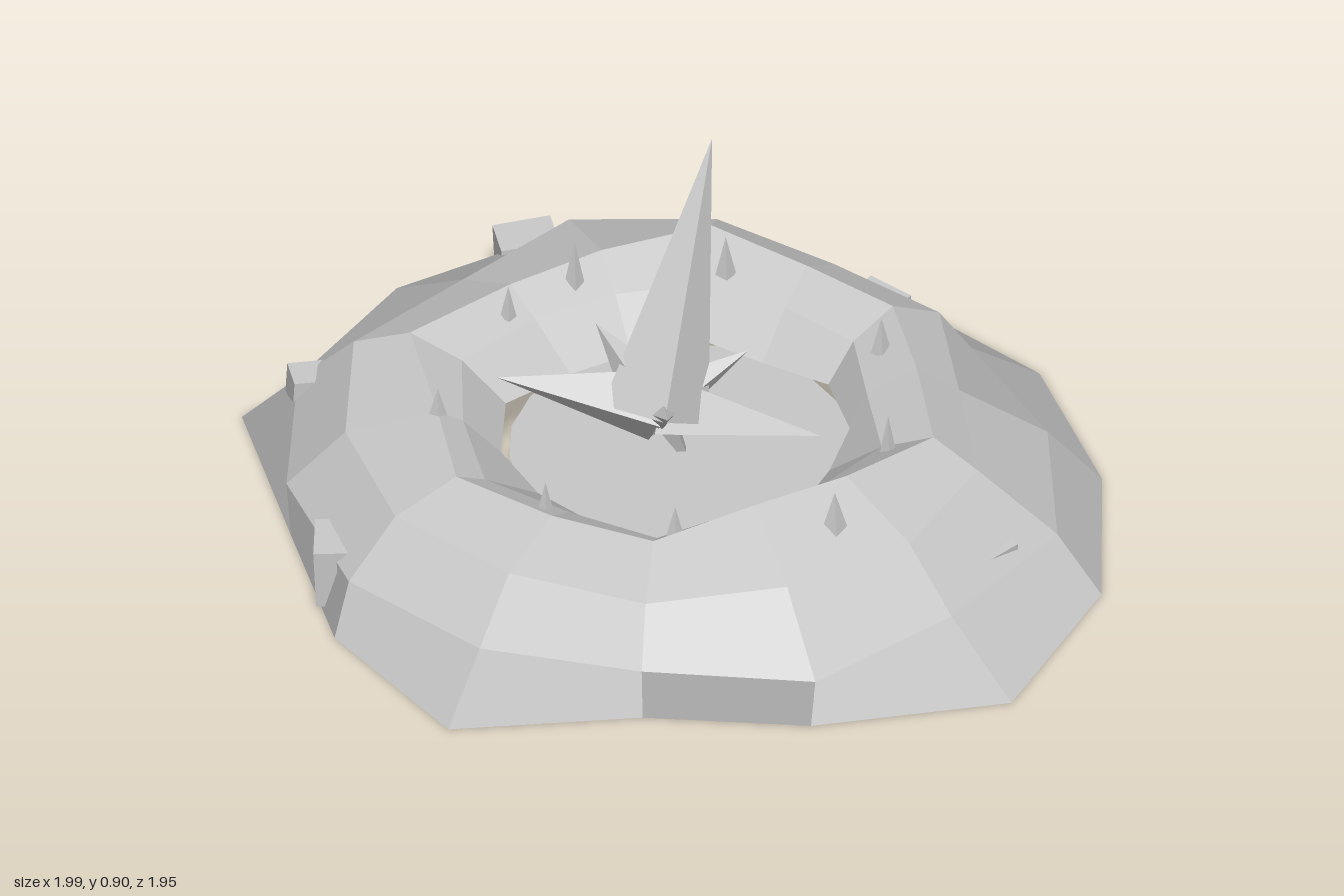
import * as THREE from 'three';

const SIDES = 14;
const CZ = 0.04; // crater centre in z

// Crater rings from the foot, over the rim, down to the inner lip: height (one or per spoke) and radius per spoke
const RIM_Y = [0.36, 0.36, 0.38, 0.37, 0.35, 0.34, 0.34, 0.33, 0.35, 0.36, 0.36, 0.36, 0.36, 0.36];
const RINGS = [
  { y: 0.0, r: [1.0, 1.05, 1.10, 0.92, 0.84, 1.04, 0.97, 0.93, 1.10, 0.93, 1.05, 1.02, 0.97, 1.0] },
  { y: 0.15, r: [0.87, 0.94, 0.90, 0.95, 0.86, 0.90, 0.93, 0.94, 0.96, 0.95, 0.93, 0.90, 0.82, 0.81] },
  { y: 0.29, r: [0.66, 0.74, 0.76, 0.75, 0.78, 0.77, 0.80, 0.80, 0.82, 0.73, 0.80, 0.76, 0.68, 0.72] },
  { y: RIM_Y, r: [0.56, 0.63, 0.55, 0.52, 0.61, 0.58, 0.63, 0.58, 0.68, 0.57, 0.57, 0.64, 0.56, 0.59] },
  { y: 0.30, r: [0.44, 0.50, 0.46, 0.44, 0.53, 0.50, 0.55, 0.52, 0.55, 0.49, 0.47, 0.49, 0.46, 0.48] },
  { y: 0.20, r: [0.40, 0.37, 0.39, 0.36, 0.41, 0.39, 0.40, 0.43, 0.44, 0.37, 0.36, 0.40, 0.36, 0.41] },
];

// Wall of four-sided facets, each with a single normal
function craterGeometry() {
  const point = (j, i) => {
    const k = i % SIDES;
    const a = (k / SIDES) * Math.PI * 2;
    const { y, r } = RINGS[j];
    return new THREE.Vector3(Math.cos(a) * r[k], Array.isArray(y) ? y[k] : y, Math.sin(a) * r[k] + CZ);
  };
  const pos = [];
  const nor = [];
  for (let j = 0; j < RINGS.length - 1; j++) {
    for (let i = 0; i < SIDES; i++) {
      const a = point(j, i), b = point(j, i + 1);
      const c = point(j + 1, i), d = point(j + 1, i + 1);
      const n = d.clone().sub(a).cross(b.clone().sub(c)).normalize();
      [a, c, b, b, c, d].forEach((p) => {
        pos.push(p.x, p.y, p.z);
        nor.push(n.x, n.y, n.z);
      });
    }
  }
  const g = new THREE.BufferGeometry();
  g.setAttribute('position', new THREE.Float32BufferAttribute(pos, 3));
  g.setAttribute('normal', new THREE.Float32BufferAttribute(nor, 3));
  return g;
}

// Cone standing on the origin with flat facets
function facetedCone(radius, length, sides) {
  const g = new THREE.ConeGeometry(radius, length, sides).translate(0, length / 2, 0).toNonIndexed();
  g.computeVertexNormals();
  return g;
}

export function createModel() {
  const model = new THREE.Group();
  model.name = 'crater';
  const rock = new THREE.MeshStandardMaterial({ color: 0xc8c8c8, side: THREE.DoubleSide });
  rock.name = 'grey rock';

  const add = (name, geometry, parent = model) => {
    const m = new THREE.Mesh(geometry, rock);
    m.name = name;
    parent.add(m);
    return m;
  };
  const group = (name) => {
    const g = new THREE.Group();
    g.name = name;
    model.add(g);
    return g;
  };

  // Pointed four-sided cone running from a base point to a tip
  const spike = (name, base, tip, radius, parent) => {
    const from = new THREE.Vector3(...base);
    const dir = new THREE.Vector3(...tip).sub(from);
    const m = add(name, facetedCone(radius, dir.length(), 4), parent);
    m.position.copy(from);
    m.quaternion.setFromUnitVectors(new THREE.Vector3(0, 1, 0), dir.normalize());
  };

  // Hollow crater wall and floor
  add('craterWall', craterGeometry());
  const floor = add('craterFloor', new THREE.CircleGeometry(0.41, 20).rotateX(-Math.PI / 2));
  floor.position.set(0, 0.18, CZ);

  // Cluster of shards at the centre
  const shards = group('centreShards');
  spike('mainShard', [-0.07, 0.33, 0.11], [0.1, 0.9, -0.2], 0.13, shards);
  [
    [[-0.44, 0.42, 0.04], 0.1],
    [[0.32, 0.25, 0.13], 0.1],
    [[-0.06, 0.43, 0.27], 0.07],
    [[-0.2, 0.53, 0.0], 0.08],
    [[0.16, 0.45, 0.04], 0.07],
    [[0.03, 0.1, 0.04], 0.04],
  ].forEach(([tip, r]) => spike('sideShard', [-0.06, 0.33, 0.07], tip, r, shards));

  // Small spikes around the rim: x, z, base height, tip height, radius
  const rimSpikes = group('rimSpikes');
  [
    [-0.20, -0.44, 0.32, 0.45, 0.025],
    [0.16, -0.44, 0.32, 0.43, 0.025],
    [0.49, -0.09, 0.32, 0.42, 0.025],
    [0.46, 0.31, 0.32, 0.43, 0.02],
    [0.30, 0.60, 0.31, 0.43, 0.035],
    [-0.08, 0.60, 0.32, 0.42, 0.025],
    [-0.37, 0.44, 0.31, 0.40, 0.02],
    [-0.58, 0.04, 0.31, 0.40, 0.025],
    [-0.37, -0.33, 0.32, 0.41, 0.02],
  ].forEach(([x, z, y0, y1, r]) => spike('rimSpike', [x, y0, z], [x, y1, z], r, rimSpikes));

  // Blocks half buried in the outer slope: position, size, rotation
  const blocks = group('slopeBlocks');
  [
    [[-0.27, 0.155, -0.82], [0.14, 0.09, 0.1], [0.05, 0.1, 0.05]],
    [[-0.84, 0.16, -0.33], [0.1, 0.08, 0.08], [0.05, 0.1, -0.05]],
    [[-0.83, 0.10, 0.30], [0.14, 0.16, 0.13], [0.05, -0.15, 0.05]],
    [[0.53, 0.145, -0.51], [0.12, 0.06, 0.1], [0.05, -0.78, 0]],
    [[0.66, 0.155, 0.51], [0.13, 0.06, 0.11], [0.1, 0.6, 0.0]],
  ].forEach(([p, s, r]) => {
    const b = add('slopeBlock', new THREE.BoxGeometry(...s), blocks);
    b.position.set(...p);
    b.rotation.set(...r);
  });

  return model;
}
